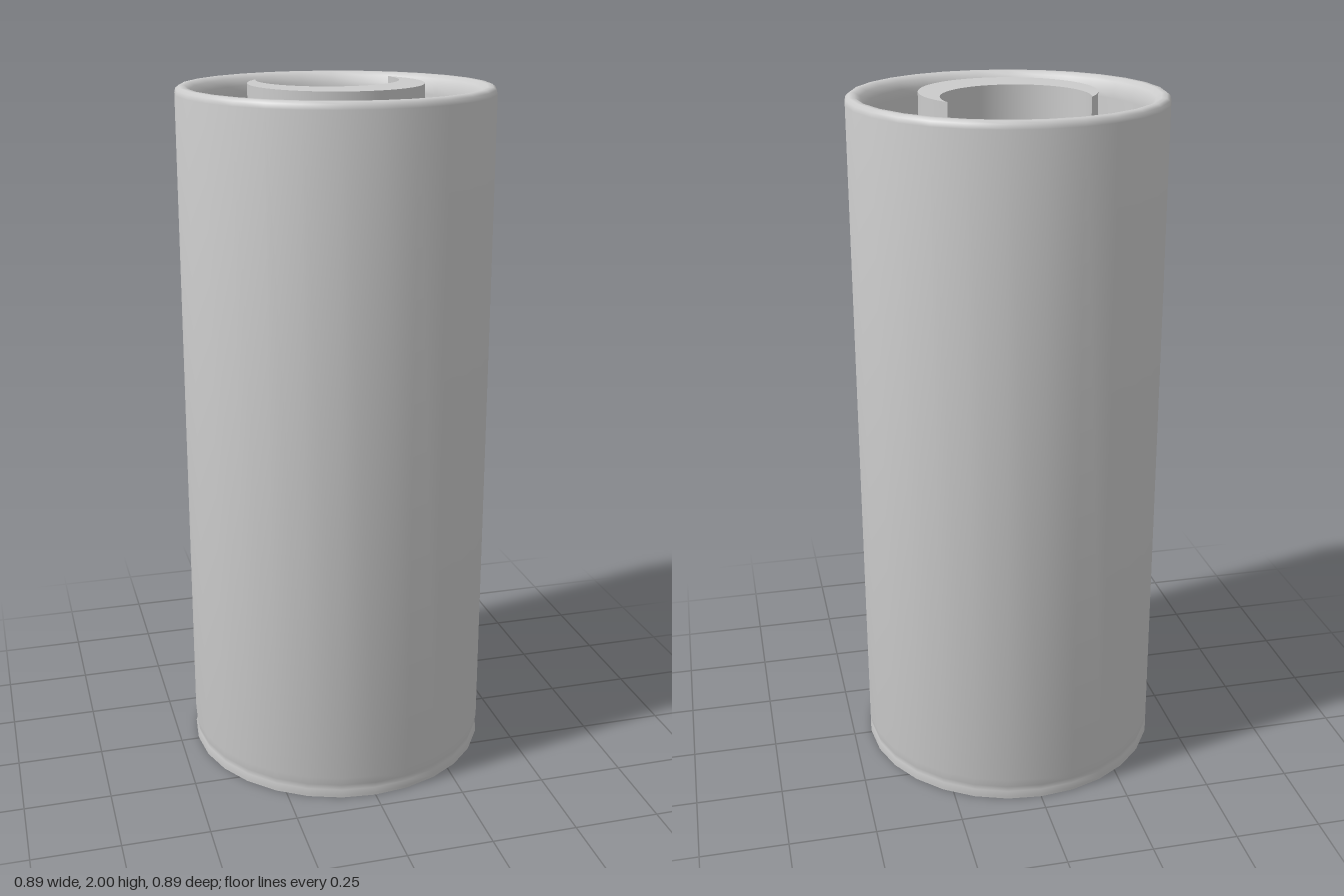
import * as THREE from 'three';
import { toCreasedNormals } from 'three/addons/utils/BufferGeometryUtils.js';

const SIDES = 28;
const material = new THREE.MeshStandardMaterial({ color: 0xcccccc });

function addMesh(group, name, geometry) {
  const mesh = new THREE.Mesh(toCreasedNormals(geometry, 0.9), material);
  mesh.name = name;
  group.add(mesh);
}

// Profile of [radius, height] pairs, listed from the bottom outward and up
function lathe(profile) {
  return new THREE.LatheGeometry(profile.map(([r, y]) => new THREE.Vector2(r, y)), SIDES);
}

export function createModel() {
  const group = new THREE.Group();
  group.name = 'cosmeticTube';

  // Hollow outer sleeve with a rounded lip and a fine groove at the foot
  addMesh(group, 'outerSleeve', lathe([
    [0, 0], [0.445, 0], [0.447, 0.008], [0.44, 0.022], [0.443, 0.04], [0.447, 0.065],
    [0.447, 1.975], [0.444, 1.988], [0.435, 1.995], [0.42, 1.995], [0.405, 1.985],
    [0.393, 1.965], [0.39, 1.94], [0.39, 0.7],
  ]));

  // Stepped holder inside the sleeve
  addMesh(group, 'steppedHolder', lathe([
    [0.39, 0.7], [0.378, 0.71], [0.375, 0.72], [0.375, 0.98], [0.365, 1.0], [0.335, 1.005],
    [0.325, 1.01], [0.325, 1.18], [0.318, 1.195], [0.3, 1.2], [0.295, 1.21],
    [0.295, 1.38], [0.288, 1.395], [0.245, 1.4],
  ]));

  // Solid lower part of the stick
  const radius = 0.246, floor = 1.45, top = 2;
  addMesh(group, 'stickBase', lathe([[radius, 1.39], [radius, floor], [0, floor]]));

  // Crescent upper part: a disc scooped by a smaller circle set toward the back
  const scoop = 0.203, offset = 0.095;
  const tipY = (radius ** 2 - scoop ** 2 + offset ** 2) / (2 * offset);
  const tipX = Math.sqrt(radius ** 2 - tipY ** 2);
  const outer = Math.atan2(tipY, tipX);
  const inner = Math.atan2(tipY - offset, tipX);
  const crescent = new THREE.Shape();
  crescent.absarc(0, 0, radius, outer, Math.PI - outer, true);
  crescent.absarc(0, offset, scoop, Math.PI - inner, inner, false);
  const tip = new THREE.ExtrudeGeometry(crescent, {
    depth: top - floor, bevelEnabled: false, curveSegments: SIDES,
  });
  tip.rotateX(-Math.PI / 2).translate(0, floor, 0);
  addMesh(group, 'crescentTip', tip);

  return group;
}
